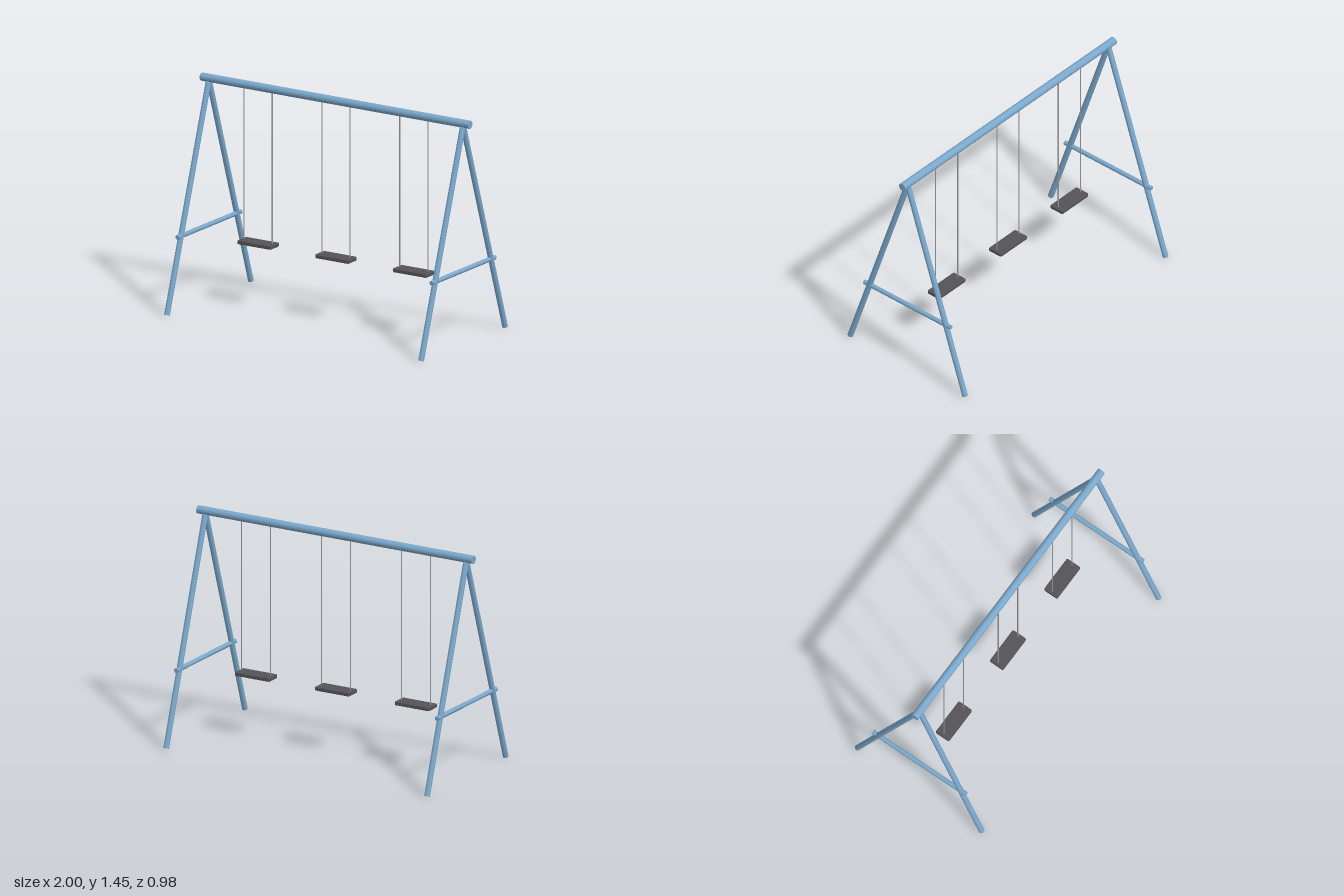
import * as THREE from 'three';

const steel = new THREE.MeshStandardMaterial({ color: 0x7ba8cc, flatShading: true });
steel.name = 'blue steel';
const rubber = new THREE.MeshStandardMaterial({ color: 0x555357, flatShading: true });
rubber.name = 'dark rubber';
const cable = new THREE.MeshStandardMaterial({ color: 0x9a9aa2 });
cable.name = 'grey cable';

// Round bar running between two points
function bar(name, a, b, radius, material, sides = 10) {
  const from = new THREE.Vector3(...a);
  const to = new THREE.Vector3(...b);
  const dir = to.clone().sub(from);
  const mesh = new THREE.Mesh(new THREE.CylinderGeometry(radius, radius, dir.length(), sides), material);
  mesh.position.copy(from).add(to).multiplyScalar(0.5);
  mesh.quaternion.setFromUnitVectors(new THREE.Vector3(0, 1, 0), dir.normalize());
  mesh.name = name;
  return mesh;
}

// Flat plank with rounded corners and a small bevel, centred on the origin
function plank(width, height, depth, corner, bevel) {
  const w = width / 2 - bevel;
  const d = depth / 2 - bevel;
  const shape = new THREE.Shape();
  shape.absarc(w - corner, d - corner, corner, 0, Math.PI / 2);
  shape.absarc(corner - w, d - corner, corner, Math.PI / 2, Math.PI);
  shape.absarc(corner - w, corner - d, corner, Math.PI, Math.PI * 1.5);
  shape.absarc(w - corner, corner - d, corner, Math.PI * 1.5, Math.PI * 2);
  return new THREE.ExtrudeGeometry(shape, {
    depth: height - 2 * bevel, bevelSize: bevel, bevelThickness: bevel, bevelSegments: 1, curveSegments: 3,
  }).center().rotateX(-Math.PI / 2);
}

export function createModel() {
  const model = new THREE.Group();
  model.name = 'swingSet';
  const beamY = 1.429;

  // Top beam
  model.add(bar('topBeam', [-1, beamY, 0], [1, beamY, 0], 0.026, steel, 16));

  // A-frames at both ends
  for (const side of [-1, 1]) {
    const frame = new THREE.Group();
    frame.name = side > 0 ? 'leftFrame' : 'rightFrame';
    const x = side * 0.947;
    for (const s of [1, -1]) {
      frame.add(bar(s > 0 ? 'frontLeg' : 'backLeg', [x, 0.006, s * 0.474], [x, beamY - 0.01, 0], 0.0185, steel));
    }
    frame.add(bar('crossBar', [x, 0.481, 0.357], [x, 0.481, -0.357], 0.015, steel));
    model.add(frame);
  }

  // Three swings, each a seat on two cables
  const seatGeometry = plank(0.25, 0.024, 0.102, 0.006, 0.003);
  for (const x of [-0.58, 0, 0.58]) {
    const swing = new THREE.Group();
    swing.name = 'swing';
    const seat = new THREE.Mesh(seatGeometry, rubber);
    seat.position.set(x, 0.416, 0);
    seat.name = 'seat';
    swing.add(seat);
    for (const dx of [-0.105, 0.105]) {
      swing.add(bar('cable', [x + dx, 0.42, 0], [x + dx, beamY, 0], 0.0035, cable, 8));
    }
    model.add(swing);
  }
  return model;
}
